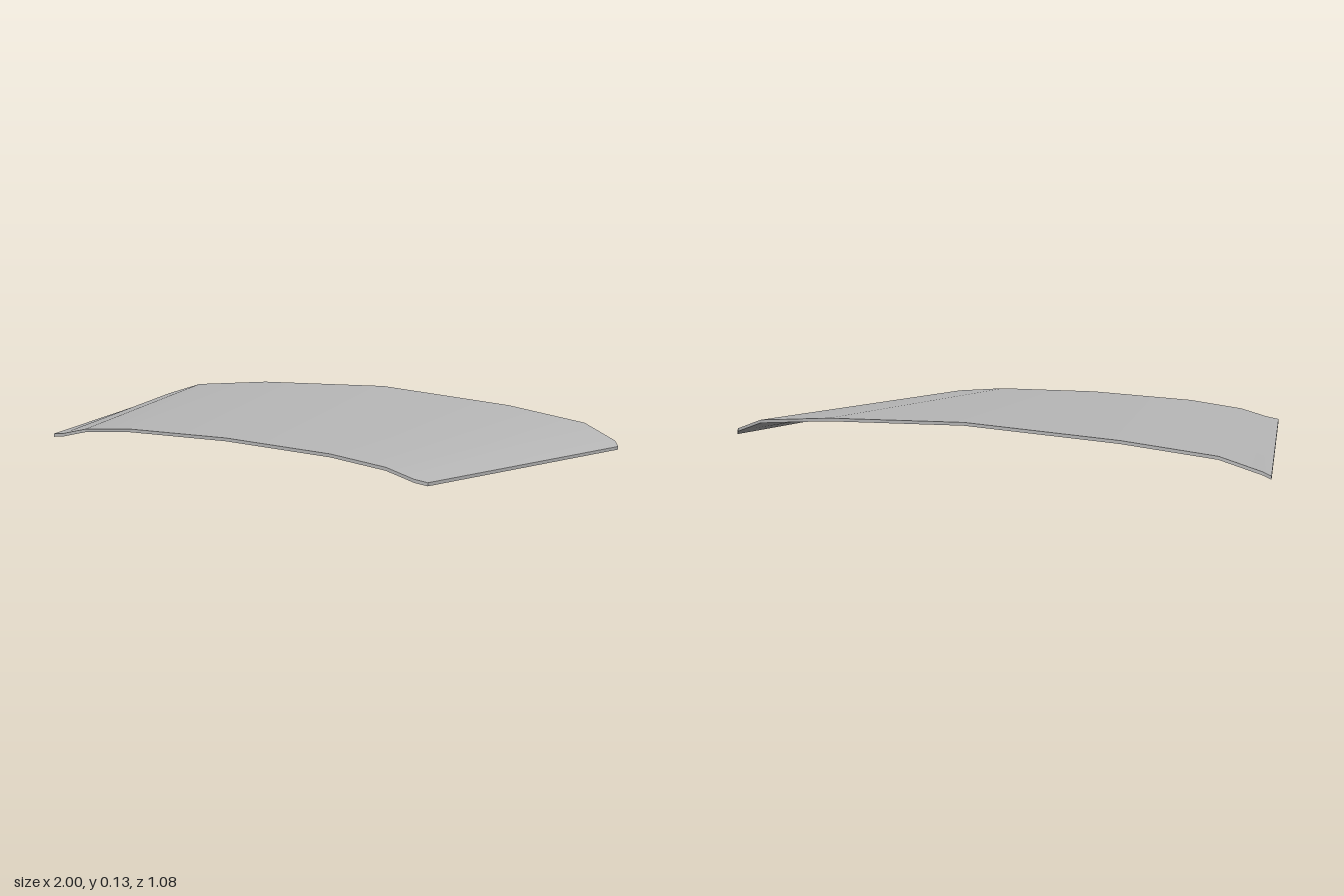
import * as THREE from 'three';

// Half profiles of the upper surface, from the centre line to the side: [x, y, z]
const REAR = [[0, 0.128, -0.543], [0.54, 0.104, -0.522], [0.85, 0.073, -0.49], [0.98, 0.028, -0.45], [1, 0.013, -0.428]];
const FRONT = [[0, 0.101, 0.533], [0.4, 0.091, 0.533], [0.6, 0.071, 0.534], [0.7, 0.046, 0.538], [0.745, 0.04, 0.535]];
const THICKNESS = 0.011;

const mirror = (half) => [...half.slice(1).reverse().map(([x, y, z]) => [-x, y, z]), ...half];
const lower = (row) => row.map(([x, y, z]) => [x, y - THICKNESS, z]);

// Strip between two rows of points; smooth along the rows when vertices are shared
function strip(a, b, smooth) {
  let geometry = new THREE.BufferGeometry();
  const index = [];
  const n = a.length;
  for (let i = 0; i < n - 1; i++) index.push(i, n + i, n + i + 1, i, n + i + 1, i + 1);
  geometry.setAttribute('position', new THREE.Float32BufferAttribute([...a, ...b].flat(), 3));
  geometry.setIndex(index);
  if (!smooth) geometry = geometry.toNonIndexed();
  geometry.computeVertexNormals();
  return geometry;
}

export function createModel() {
  const grey = new THREE.MeshStandardMaterial({ color: 0xb8b8b8 });
  grey.name = 'panelGrey';

  const panel = new THREE.Group();
  panel.name = 'curvedPanel';
  const add = (name, a, b, smooth = false) => {
    const mesh = new THREE.Mesh(strip(a, b, smooth), grey);
    mesh.name = name;
    panel.add(mesh);
  };

  const rear = mirror(REAR), front = mirror(FRONT);
  const rearLow = lower(rear), frontLow = lower(front);
  const last = rear.length - 1;

  // Broad arched faces
  add('upperSurface', rear, front, true);
  add('lowerSurface', frontLow, rearLow, true);

  // Thin rim around the outline
  add('frontEdge', front, frontLow);
  add('rearEdge', rearLow, rear);
  add('leftEdge', [front[last], rear[last]], [frontLow[last], rearLow[last]]);
  add('rightEdge', [rear[0], front[0]], [rearLow[0], frontLow[0]]);

  return panel;
}
